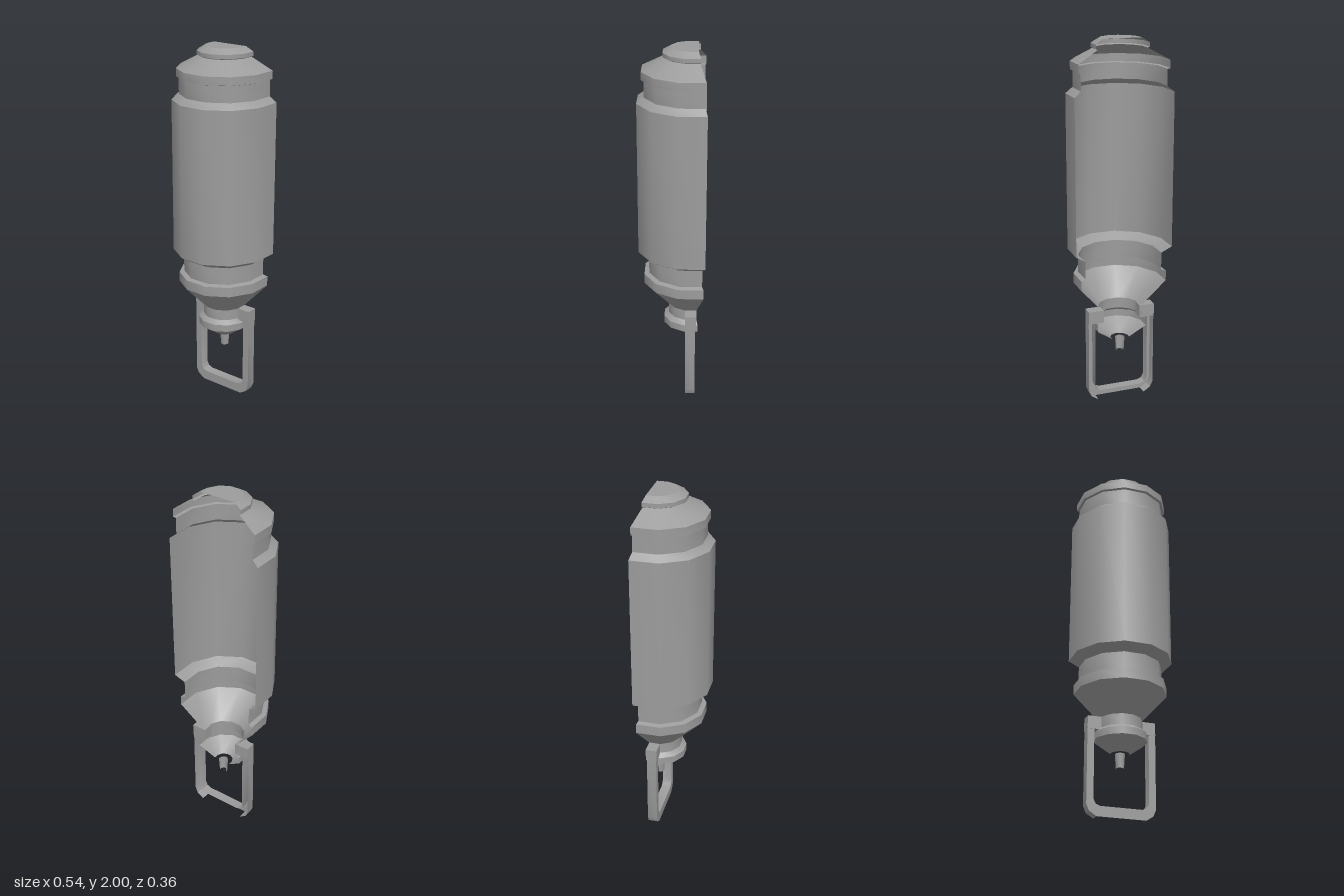
import * as THREE from 'three';
import { toCreasedNormals } from 'three/addons/utils/BufferGeometryUtils.js';

const AXIS_Z = -0.107, DEPTH = 1.055, EDGE = Math.cos(Math.PI / 12);
const material = new THREE.MeshStandardMaterial({ color: 0x9c9c9c, side: THREE.DoubleSide });

function add(group, name, geometry) {
  const mesh = new THREE.Mesh(toCreasedNormals(geometry, 0.6), material);
  mesh.name = name;
  group.add(mesh);
}

// Open-backed shell: seven sides of a twelve-sided turning; profile is [half width, y], bottom to top
function shell(group, name, profile) {
  const points = profile.map(([w, y]) => new THREE.Vector2(w / EDGE, y));
  const geometry = new THREE.LatheGeometry(points, 7, -Math.PI * 7 / 12, Math.PI * 7 / 6);
  geometry.scale(1, 1, DEPTH).translate(0, 0, AXIS_Z);
  add(group, name, geometry);
}

// Flat end of a shell, cut straight at the back
function cap(group, name, w, y) {
  const corners = [];
  for (let i = 0; i < 8; i++) {
    const a = -Math.PI * 7 / 12 + i * Math.PI / 6;
    corners.push(new THREE.Vector2(w / EDGE * Math.sin(a), -w / EDGE * DEPTH * Math.cos(a)));
  }
  const geometry = new THREE.ShapeGeometry(new THREE.Shape(corners));
  geometry.rotateX(-Math.PI / 2).translate(0, y, AXIS_Z);
  add(group, name, geometry);
}

// Strip that follows a path in x and y, running between two depths
function wall(group, name, path, z0, z1) {
  const position = [];
  for (let i = 0; i + 1 < path.length; i++) {
    const [a, b] = path[i], [c, d] = path[i + 1];
    position.push(a, b, z0, c, d, z1, a, b, z1, a, b, z0, c, d, z0, c, d, z1);
  }
  const geometry = new THREE.BufferGeometry();
  geometry.setAttribute('position', new THREE.Float32BufferAttribute(position, 3));
  geometry.computeVertexNormals();
  add(group, name, geometry);
}

const mirror = (path) => path.map(([x, y]) => [-x, y]).reverse();

export function createModel() {
  const model = new THREE.Group();

  // Main body with its stepped collars
  shell(model, 'lowerCone', [[0.115, 0.535], [0.243, 0.68], [0.243, 0.735], [0.218, 0.742]]);
  shell(model, 'body', [
    [0.218, 0.742], [0.218, 0.84], [0.272, 0.875], [0.272, 1.72], [0.235, 1.75],
    [0.235, 1.838], [0.248, 1.842], [0.248, 1.885],
  ]);
  shell(model, 'shoulder', [[0.248, 1.885], [0.135, 1.948], [0.145, 1.953], [0.145, 1.975], [0.105, 2]]);
  cap(model, 'topCap', 0.105, 2);

  // Neck, flange and pin
  shell(model, 'neck', [[0.115, 0.475], [0.115, 0.535]]);
  shell(model, 'flange', [[0.05, 0.35], [0.14, 0.415], [0.14, 0.455], [0.115, 0.475]]);
  shell(model, 'pin', [[0.021, 0.27], [0.026, 0.35]]);

  // Handle loop, hollow towards the back
  const handle = new THREE.Group();
  handle.name = 'handle';
  const front = -0.079, back = -0.133;
  const outer = [[0.19, 0.47], [0.19, 0.06], [0.175, 0.025], [0.135, 0]];
  const inner = [[0.152, 0.47], [0.152, 0.09], [0.14, 0.065], [0.115, 0.055]];
  const opening = [...inner, ...mirror(inner)];
  const outline = [...outer, ...mirror(outer), ...opening.slice().reverse()];
  const face = new THREE.ShapeGeometry(new THREE.Shape(outline.map(([x, y]) => new THREE.Vector2(x, y))));
  face.translate(0, 0, front);
  add(handle, 'handleFace', face);
  wall(handle, 'handleOuterLeft', outer, front, back);
  wall(handle, 'handleOuterRight', mirror(outer), front, back);
  wall(handle, 'handleInner', opening, back, front);

  // Lugs that join the handle to the neck
  for (const side of [1, -1]) {
    const lug = new THREE.BoxGeometry(0.085, 0.07, 0.062);
    lug.translate(side * 0.1475, 0.5, -0.108);
    add(handle, side > 0 ? 'leftLug' : 'rightLug', lug);
  }
  model.add(handle);

  return model;
}
